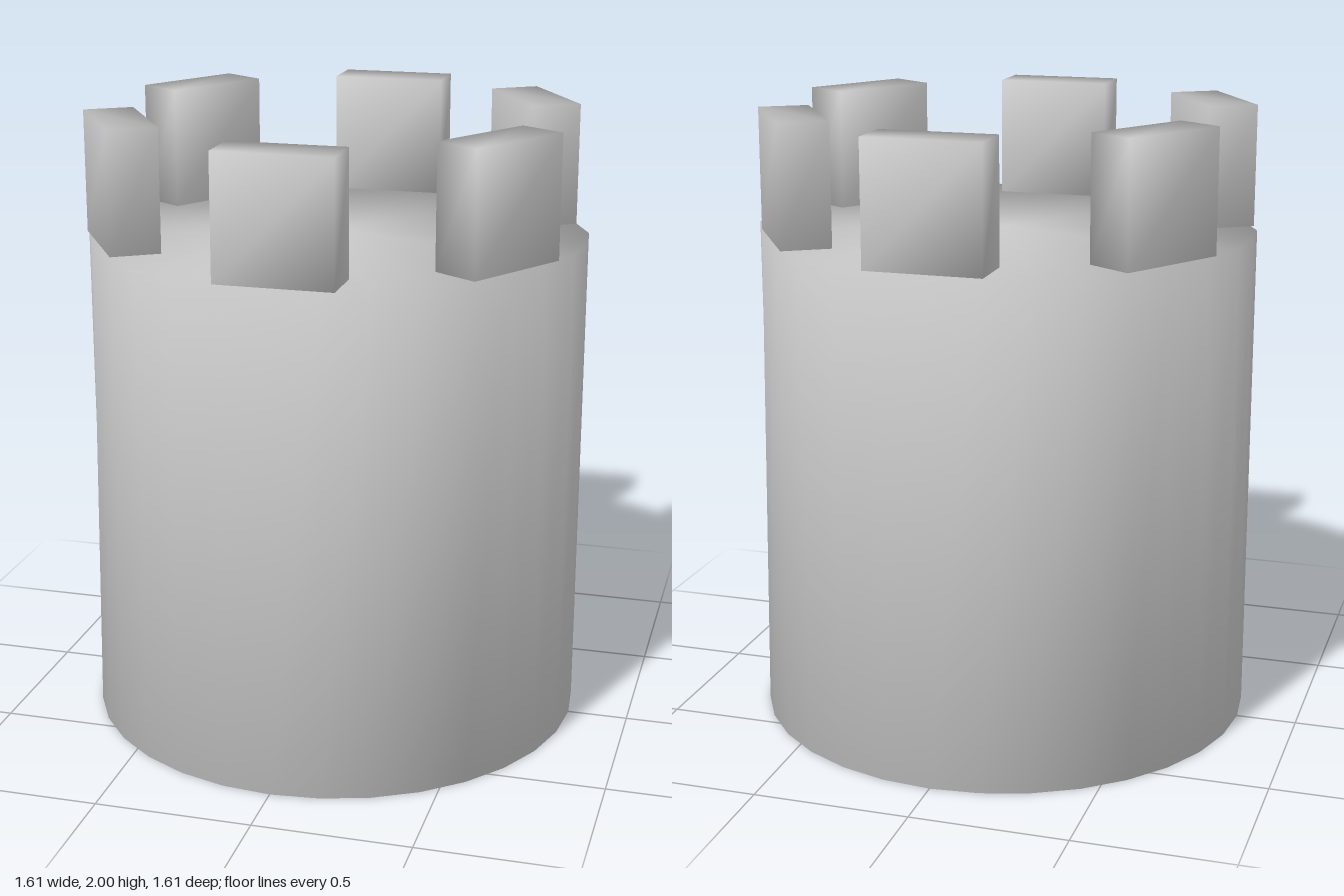
import * as THREE from 'three';
import { mergeVertices } from 'three/addons/utils/BufferGeometryUtils.js';

const WALL_TOP = 1.61;
const FLAT = 0.77; // distance of the flats under the battlements

// Share corners so that shading runs softly over every edge
function soften(geometry) {
  geometry.deleteAttribute('normal');
  geometry.deleteAttribute('uv');
  const merged = mergeVertices(geometry, 1e-4);
  merged.computeVertexNormals();
  return merged;
}

export function createModel() {
  const model = new THREE.Group();
  model.name = 'castleTower';
  const stone = new THREE.MeshStandardMaterial({ color: 0xcccccc });
  stone.name = 'greyStone';

  // Battlements: turn about y (degrees), centre x, centre z
  const battlements = [
    [0, 0.015, 0.69], [58, 0.59, 0.344], [122, 0.565, -0.392],
    [180, 0.015, -0.70], [238, -0.578, -0.388], [302, -0.6, 0.343],
  ];

  // Round wall: its top rim is flattened below each battlement
  const wall = new THREE.CylinderGeometry(0.805, 0.805, WALL_TOP, 32);
  wall.translate(0, WALL_TOP / 2, 0);
  const p = wall.attributes.position;
  for (let i = 0; i < p.count; i++) {
    if (p.getY(i) < WALL_TOP / 2) continue;
    for (const [deg] of battlements) {
      const a = THREE.MathUtils.degToRad(deg);
      const nx = Math.sin(a), nz = Math.cos(a);
      const over = p.getX(i) * nx + p.getZ(i) * nz - FLAT;
      if (over > 0) {
        p.setX(i, p.getX(i) - nx * over);
        p.setZ(i, p.getZ(i) - nz * over);
      }
    }
  }
  const tower = new THREE.Mesh(soften(wall), stone);
  tower.name = 'towerWall';
  model.add(tower);

  // Ring of square battlements
  const block = soften(new THREE.BoxGeometry(0.37, 2 - WALL_TOP, 0.16));
  battlements.forEach(([deg, x, z], i) => {
    const mesh = new THREE.Mesh(block, stone);
    mesh.name = `battlement${i + 1}`;
    mesh.position.set(x, (2 + WALL_TOP) / 2, z);
    mesh.rotation.y = THREE.MathUtils.degToRad(deg);
    model.add(mesh);
  });

  return model;
}
